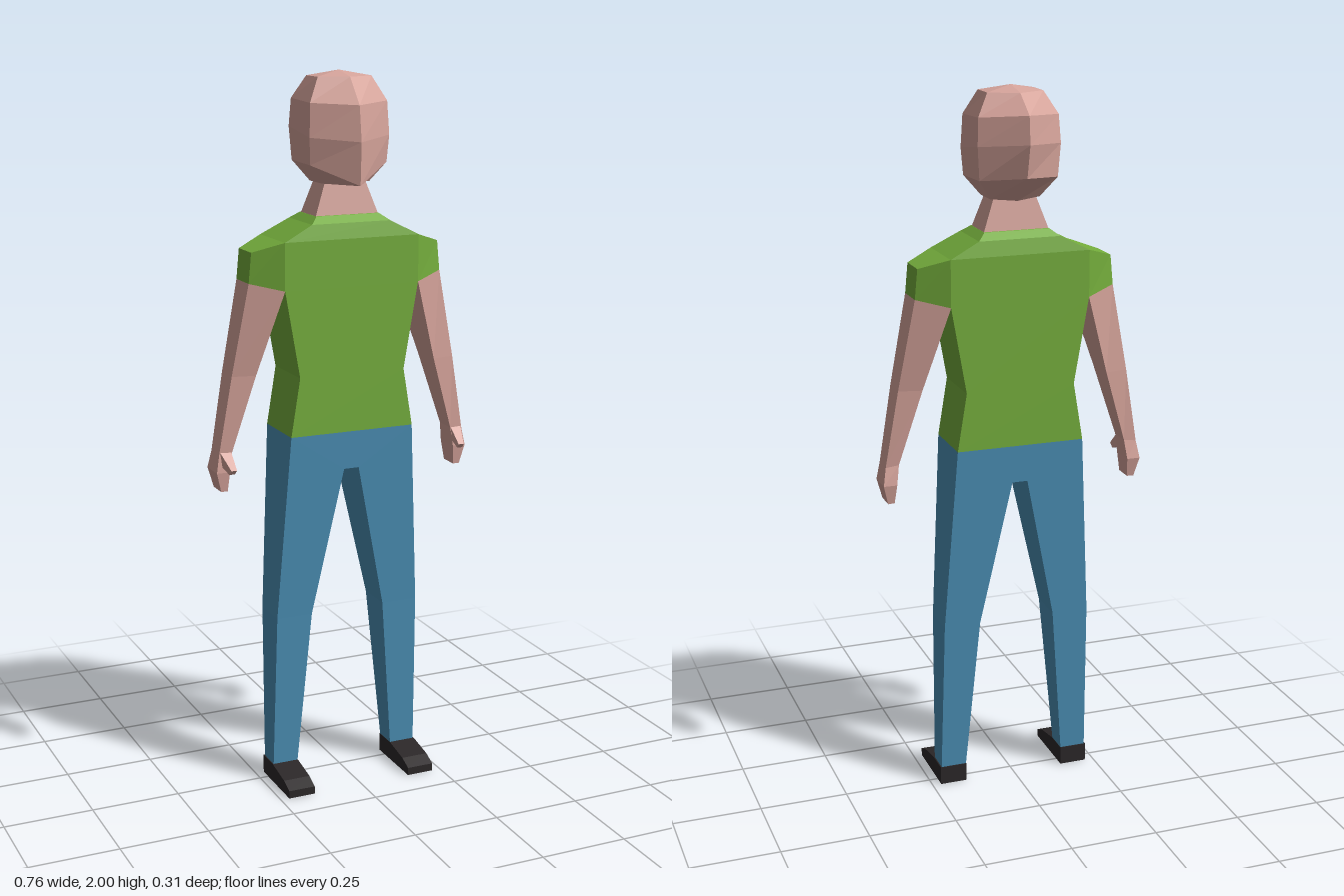
import * as THREE from 'three';

const material = (color) => new THREE.MeshStandardMaterial({ color, flatShading: true });

// Skins a stack of corner rings (counter-clockwise seen from the last ring) and closes both ends.
function loft(name, mat, rings, apex) {
  const pos = [];
  const tri = (...pts) => pts.forEach((p) => pos.push(...p));
  const n = rings[0].length;
  const centre = (ring) => [0, 1, 2].map((k) => ring.reduce((s, p) => s + p[k], 0) / n);
  const first = rings[0], last = rings[rings.length - 1];
  const low = centre(first), high = apex || centre(last);
  for (let i = 0; i < n; i++) {
    const j = (i + 1) % n;
    for (let r = 0; r + 1 < rings.length; r++) {
      const a = rings[r], b = rings[r + 1];
      tri(a[i], a[j], b[j]);
      tri(a[i], b[j], b[i]);
    }
    tri(first[j], first[i], low);
    tri(last[i], last[j], high);
  }
  const geo = new THREE.BufferGeometry();
  geo.setAttribute('position', new THREE.Float32BufferAttribute(pos, 3));
  geo.computeVertexNormals();
  const mesh = new THREE.Mesh(geo, mat);
  mesh.name = name;
  return mesh;
}

// Rectangle centred on the body axis
const box = (x, y, z) => [[x, y, z], [x, y, -z], [-x, y, -z], [-x, y, z]];

// Limb section: inner edge and outer edge, each [x, y, front z, back z]
const section = ([xi, yi, fi, bi = -fi], [xo, yo, fo, bo = -fo]) =>
  [[xi, yi, fi], [xo, yo, fo], [xo, yo, bo], [xi, yi, bi]];

// Mirrors rings to the -x side, keeping the corner order
const mirror = (rings) => rings.map((ring) => ring.map(([x, y, z]) => [-x, y, z]).reverse());

// Six-sided head section from front, side front, side back and back points
const headRing = ([fy, fz], [sx, sy, sz], [bx, by, bz], [ry, rz]) => [
  [0, fy, fz], [sx, sy, sz], [bx, by, bz], [0, ry, rz], [-bx, by, bz], [-sx, sy, sz],
];

export function createModel() {
  const group = new THREE.Group();
  const skin = material(0xd6a49b);
  const shirt = material(0x74ad3c);
  const denim = material(0x4b8fb5);
  const leather = material(0x2b2728);

  // Head and neck
  group.add(loft('head', skin, [
    headRing([1.71, 0.05], [0.07, 1.705, 0.04], [0.07, 1.705, -0.04], [1.70, -0.06]),
    headRing([1.705, 0.137], [0.112, 1.757, 0.06], [0.11, 1.76, -0.07], [1.77, -0.135]),
    headRing([1.82, 0.143], [0.116, 1.83, 0.068], [0.116, 1.85, -0.075], [1.86, -0.157]),
    headRing([1.915, 0.13], [0.112, 1.92, 0.062], [0.112, 1.925, -0.068], [1.935, -0.15]),
    headRing([1.985, 0.07], [0.078, 1.985, 0.035], [0.078, 1.985, -0.042], [1.985, -0.08]),
  ], [0, 2, -0.005]));
  group.add(loft('neck', skin, [box(0.095, 1.61, 0.052), box(0.055, 1.72, 0.036)]));

  // Shirt body and trouser seat
  group.add(loft('torso', shirt, [
    box(0.182, 1.027, 0.088), box(0.155, 1.19, 0.088), box(0.197, 1.43, 0.088),
    box(0.197, 1.56, 0.088), box(0.115, 1.602, 0.08), box(0.092, 1.62, 0.056),
  ]));
  group.add(loft('pelvis', denim, [box(0.022, 0.92, 0.082), box(0.182, 1.027, 0.088)]));

  // Limb rings for the +x side
  const limbs = [
    ['Sleeve', shirt, [
      section([0.197, 1.43, 0.088], [0.284, 1.45, 0.045]),
      section([0.197, 1.56, 0.088], [0.276, 1.533, 0.045]),
    ]],
    ['Arm', skin, [
      section([0.333, 0.99, 0.032], [0.37, 0.985, 0.03]),
      section([0.268, 1.2, 0.05], [0.333, 1.2, 0.037]),
      section([0.197, 1.43, 0.088], [0.284, 1.45, 0.045]),
    ]],
    ['Hand', skin, [
      section([0.346, 0.88, 0.028], [0.365, 0.88, 0.028, -0.03]),
      section([0.341, 0.935, 0.035, -0.04], [0.379, 0.935, 0.035, -0.04]),
      section([0.333, 0.99, 0.032], [0.37, 0.985, 0.03]),
    ]],
    ['Thumb', skin, [
      [[0.365, 0.955, 0.025], [0.368, 0.995, 0.025], [0.335, 0.995, 0.025], [0.338, 0.955, 0.025]],
      [[0.355, 0.937, 0.066], [0.353, 0.95, 0.078], [0.337, 0.95, 0.078], [0.339, 0.937, 0.066]],
    ]],
    ['Leg', denim, [
      section([0.148, 0.05, 0.035, -0.032], [0.222, 0.05, 0.035, -0.032]),
      section([0.11, 0.5, 0.056], [0.215, 0.5, 0.056]),
      section([0.022, 0.92, 0.082], [0.182, 1.027, 0.088]),
    ]],
    ['Shoe', leather, [
      section([0.147, 0, 0.158, -0.035], [0.225, 0, 0.158, -0.035]),
      section([0.147, 0.022, 0.158, -0.035], [0.225, 0.022, 0.158, -0.035]),
      section([0.147, 0.038, 0.12, -0.035], [0.225, 0.038, 0.12, -0.035]),
      section([0.147, 0.053, 0.036, -0.035], [0.225, 0.053, 0.036, -0.035]),
    ]],
  ];
  for (const [name, mat, rings] of limbs) {
    group.add(loft('left' + name, mat, rings));
    group.add(loft('right' + name, mat, mirror(rings)));
  }
  return group;
}
